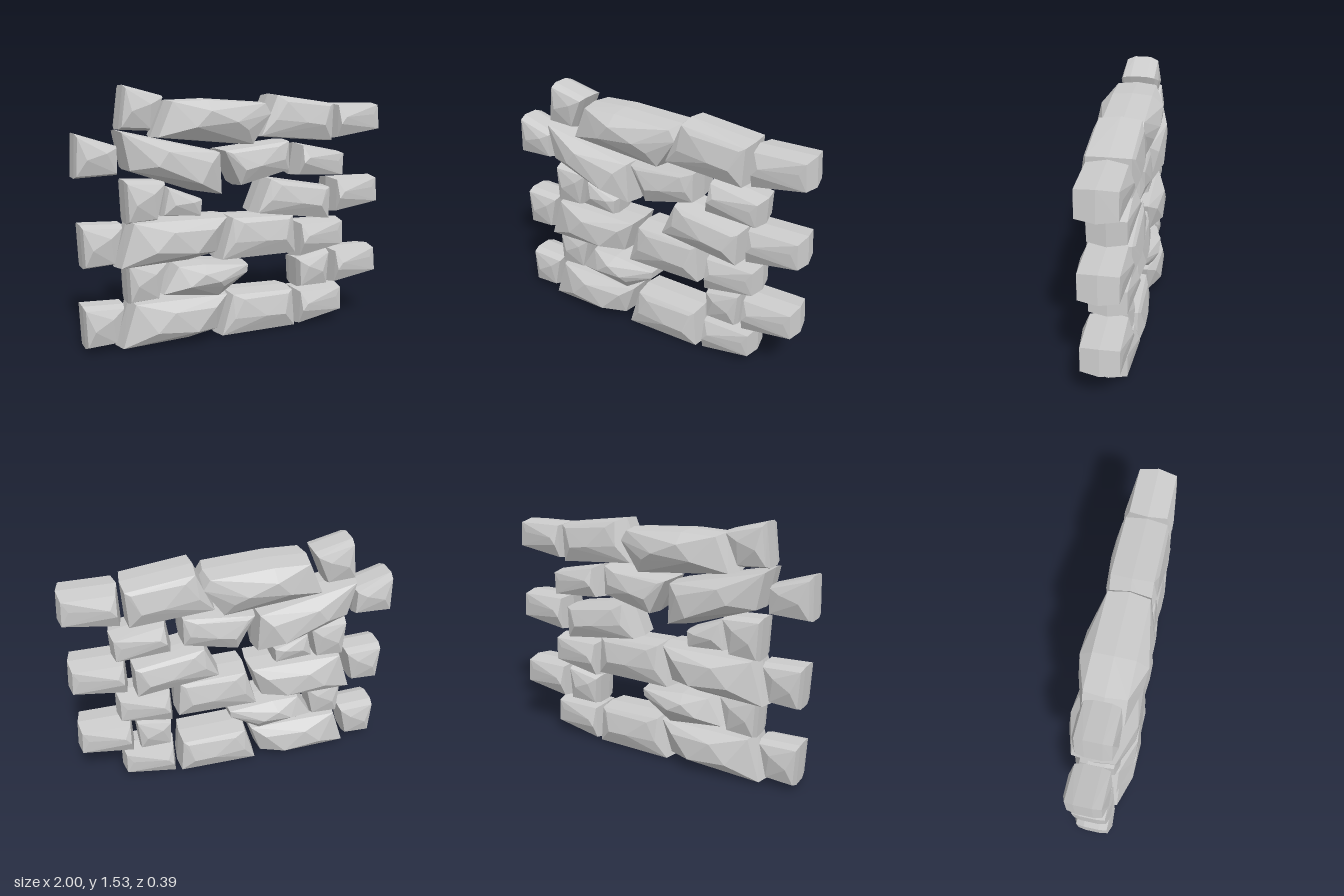
import * as THREE from 'three';
import { ConvexGeometry } from 'three/addons/geometries/ConvexGeometry.js';

const material = new THREE.MeshStandardMaterial({ color: 0xcccccc, flatShading: true });

// Cut-stone profiles, in (u, v) across a stone's four-cornered outline:
// mid = half-depth of the full outline, rim = depth of the edge drawn in by inset (x, y),
// extra = further outline points, ridge = [u, v, z] points that bulge from both faces.
const profiles = {
  endStone: {
    mid: 0, rim: 0.11, inset: [0.89, 0.87], extra: [],
    ridge: [[0.08, 0.42, 0.145], [0.18, 0.6, 0.145], [0.83, 0.6, 0.12]],
  },
  cornerStone: {
    mid: 0.05, rim: 0.1, inset: [0.93, 0.86], extra: [],
    ridge: [[0.25, 0.45, 0.125], [0.72, 0.7, 0.12]],
  },
  block: {
    mid: 0, rim: 0.12, inset: [0.95, 0.93], extra: [],
    ridge: [[0.12, 0.42, 0.145], [0.55, 0.42, 0.162], [0.82, 0.4, 0.16], [0.9, 0.88, 0.135], [0.2, 0.85, 0.14]],
  },
  longStone: {
    mid: 0, rim: 0.12, inset: [0.95, 0.93], extra: [[0.7, -0.08]],
    ridge: [[0.3, 0.32, 0.19], [0.42, 0.74, 0.19], [0.72, 0.16, 0.195], [0.86, 0.7, 0.17]],
  },
  slab: {
    mid: 0, rim: 0.12, inset: [0.95, 0.93], extra: [[1.1, 0.75], [0.36, 1.06]],
    ridge: [[0.32, 0.35, 0.18], [0.4, 0.76, 0.19], [0.7, 0.52, 0.19], [0.85, 0.35, 0.165]],
  },
};

// corners: bottom left, top left, top right, bottom right
function stone(name, [bl, tl, tr, br], dy = 0, dx = 0) {
  const { mid, rim, inset, extra, ridge } = profiles[name];
  const at = (u, v, i) =>
    (bl[i] * (1 - u) + br[i] * u) * (1 - v) + (tl[i] * (1 - u) + tr[i] * u) * v;
  const cx = at(0.5, 0.5, 0), cy = at(0.5, 0.5, 1);
  const points = [];
  // outline and bulges, mirrored front to back
  for (const s of [-1, 1]) {
    for (const [u, v] of [[0, 0], [0, 1], [1, 1], [1, 0], ...extra]) {
      const x = at(u, v, 0), y = at(u, v, 1);
      points.push(
        new THREE.Vector3(x, y, s * mid),
        new THREE.Vector3(cx + (x - cx) * inset[0], cy + (y - cy) * inset[1], s * rim),
      );
    }
    for (const [u, v, z] of ridge) points.push(new THREE.Vector3(at(u, v, 0), at(u, v, 1), s * z));
  }
  const mesh = new THREE.Mesh(new ConvexGeometry(points), material);
  mesh.name = name;
  mesh.position.set(dx, dy, 0);
  return mesh;
}

export function createModel() {
  const wall = new THREE.Group();
  wall.name = 'stoneWall';
  const add = (...args) => wall.add(stone(...args));

  // protruding and recessed stones of the right end
  for (const dy of [0, 0.47, 0.945]) {
    add('endStone', [[0.65, 0.255], [0.655, 0.485], [0.985, 0.485], [1, 0.31]], dy);
  }
  for (const dy of [0, 0.445]) {
    add('endStone', [[0.39, 0.005], [0.4, 0.24], [0.735, 0.24], [0.74, 0.07]], dy);
  }
  add('endStone', [[0.375, 0.98], [0.405, 1.185], [0.735, 1.12], [0.73, 0.96]]);
  add('cornerStone', [[0.62, 0.25], [0.635, 0.485], [0.41, 0.44], [0.42, 0.25]]);

  // corner stones of the left end
  for (const [dx, dy] of [[0, 0], [0, 0.475], [0.26, 0.24], [0.26, 0.715]]) {
    add('cornerStone', [[-0.965, 0.03], [-0.975, 0.285], [-0.735, 0.275], [-0.785, 0.04]], dy, dx);
  }
  add('cornerStone', [[-0.74, 1.29], [-0.71, 1.54], [-0.48, 1.48], [-0.56, 1.28]]);
  add('cornerStone', [[-1, 1.025], [-0.99, 1.275], [-0.755, 1.2], [-0.755, 1.035]]);
  add('cornerStone', [[-0.5, 0.78], [-0.465, 0.955], [-0.245, 0.87], [-0.255, 0.765]]);

  // long stones of the left half
  for (const dy of [0, 0.48]) {
    add('longStone', [[-0.775, 0.01], [-0.69, 0.285], [-0.085, 0.285], [-0.155, 0.065]], dy);
  }
  add('longStone', [[-0.71, 1.06], [-0.755, 1.29], [-0.13, 1.15], [-0.12, 0.885]]);
  add('slab', [[-0.52, 0.315], [-0.42, 0.485], [0.055, 0.455], [-0.15, 0.27]]);
  add('slab', [[-0.54, 1.24], [-0.45, 1.455], [0.17, 1.44], [0.085, 1.18]]);

  // blocks of the right half
  for (const dy of [0, 0.48]) {
    add('block', [[-0.145, 0.005], [-0.07, 0.275], [0.36, 0.265], [0.38, 0.01]], dy);
  }
  add('block', [[0.095, 0.76], [0.185, 0.98], [0.625, 0.905], [0.62, 0.69]]);
  add('block', [[0.115, 1.23], [0.225, 1.49], [0.64, 1.435], [0.63, 1.19]]);
  add('block', [[0.325, 1.02], [0.325, 1.21], [-0.125, 1.16], [-0.015, 0.935]]);

  return wall;
}
